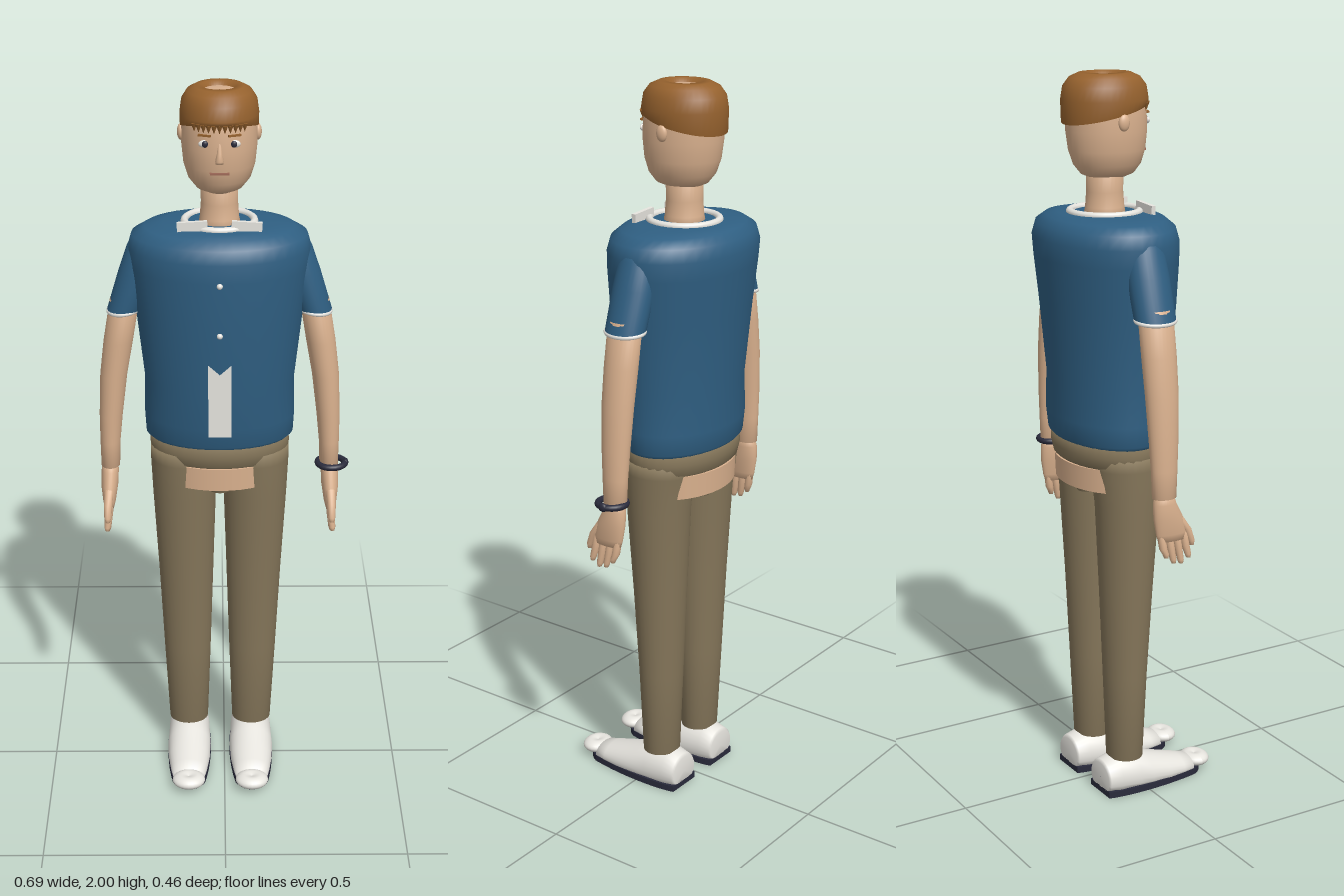
import * as THREE from 'three';

const mat = (name, color) => {
  const m = new THREE.MeshStandardMaterial({ color });
  m.name = name;
  return m;
};

// Smooth skin over elliptical rings [x, y, z, rx, rz], listed from bottom to top
function loft(rings, { caps = true, sides = 28 } = {}) {
  const list = caps
    ? [[...rings[0].slice(0, 3), 0.0005, 0.0005], ...rings, [...rings.at(-1).slice(0, 3), 0.0005, 0.0005]]
    : rings;
  const pos = [], idx = [];
  list.forEach(([x, y, z, rx, rz], i) => {
    for (let j = 0; j < sides; j++) {
      const a = (j / sides) * Math.PI * 2;
      pos.push(x + Math.cos(a) * rx, y, z + Math.sin(a) * rz);
      if (i < list.length - 1) {
        const p = i * sides + j, q = i * sides + ((j + 1) % sides);
        idx.push(p, p + sides, q, q, p + sides, q + sides);
      }
    }
  });
  const g = new THREE.BufferGeometry();
  g.setAttribute('position', new THREE.Float32BufferAttribute(pos, 3));
  g.setIndex(idx);
  g.computeVertexNormals();
  return g;
}

// Move every vertex by a rule
function reshape(g, rule) {
  const p = g.attributes.position, v = new THREE.Vector3();
  for (let i = 0; i < p.count; i++) {
    rule(v.fromBufferAttribute(p, i));
    p.setXYZ(i, v.x, v.y, v.z);
  }
  g.computeVertexNormals();
  return g;
}

export function createModel() {
  const skin = mat('skin', 0xdbb28f);
  const shirt = mat('shirt blue', 0x2f5f82);
  const khaki = mat('trouser khaki', 0x85765a);
  const brown = mat('hair brown', 0x96622e);
  const white = mat('white', 0xe6e4de);
  const dark = mat('dark navy', 0x2a2b3c);
  const lip = mat('lip', 0xa06a58);
  brown.side = shirt.side = THREE.DoubleSide;

  const root = new THREE.Group();
  root.name = 'standingMan';
  const body = new THREE.Group();
  body.name = 'body';
  body.position.set(-0.0125, 0, -0.055);
  root.add(body);

  const add = (name, geo, m, x = 0, y = 0, z = 0) => {
    const mesh = new THREE.Mesh(geo, m);
    mesh.name = name;
    mesh.position.set(x, y, z);
    body.add(mesh);
    return mesh;
  };
  const ball = (name, m, x, y, z, rx, ry, rz) =>
    add(name, new THREE.SphereGeometry(1, 20, 14), m, x, y, z).scale.set(rx, ry, rz);
  const box = (name, m, x, y, z, w, h, d) => add(name, new THREE.BoxGeometry(w, h, d), m, x, y, z);

  // Shirt body
  add('shirtBody', loft([
    [0, 1.03, 0, 0.17, 0.11], [0, 1.02, 0, 0.187, 0.125], [0, 1.035, 0, 0.203, 0.138],
    [0, 1.09, 0, 0.206, 0.145], [0, 1.2, 0.008, 0.204, 0.153], [0, 1.4, 0.006, 0.226, 0.168],
    [0, 1.52, 0.002, 0.24, 0.176], [0, 1.57, 0, 0.244, 0.177], [0, 1.605, 0, 0.234, 0.167],
    [0, 1.625, 0, 0.2, 0.145], [0, 1.635, 0, 0.15, 0.118], [0, 1.637, 0, 0.04, 0.04],
  ], { caps: false, sides: 40 }), shirt);
  const collar = add('collarRing', new THREE.TorusGeometry(0.093, 0.01, 10, 36), white, 0, 1.637, 0);
  collar.rotation.x = Math.PI / 2;
  box('placket', white, 0, 1.185, 0.12, 0.062, 0.21, 0.09);
  for (const y of [1.375, 1.515]) ball('button', white, 0, y, y > 1.4 ? 0.178 : 0.173, 0.008, 0.008, 0.008);

  // Neck and head
  add('neck', loft([
    [0, 1.6, 0, 0.062, 0.062], [0, 1.65, 0, 0.052, 0.052], [0, 1.69, 0, 0.049, 0.049], [0, 1.77, 0, 0.05, 0.05],
  ]), skin);
  add('head', loft([
    [0, 1.725, 0.008, 0.035, 0.045], [0, 1.737, 0.008, 0.062, 0.073], [0, 1.762, 0.007, 0.082, 0.092],
    [0, 1.8, 0.006, 0.094, 0.104], [0, 1.85, 0.005, 0.099, 0.11], [0, 1.9, 0.003, 0.099, 0.11],
    [0, 1.94, 0, 0.095, 0.108], [0, 1.972, 0, 0.08, 0.088], [0, 1.987, 0, 0.05, 0.055],
  ], { sides: 36 }), skin);

  // Cap of hair, open at the crown, with a rim sloping down to the back
  const hair = loft([
    [0, 1.897, 0, 0.096, 0.11], [0, 1.895, 0, 0.102, 0.117], [0, 1.93, 0, 0.103, 0.119],
    [0, 1.965, 0, 0.098, 0.113], [0, 1.987, 0, 0.084, 0.096], [0, 1.998, 0, 0.064, 0.071],
    [0, 1.999, 0, 0.048, 0.051], [0, 1.982, 0, 0.037, 0.039],
  ], { caps: false, sides: 40 });
  add('hair', reshape(hair, (v) => { if (v.y < 1.92) v.y += v.z * 0.22; }), brown);
  for (let i = -5; i <= 5; i++) {
    const a = i * 0.14;
    const tuft = add('fringeTuft', new THREE.ConeGeometry(0.009, 0.022, 6), brown,
      Math.sin(a) * 0.1, 1.911, Math.cos(a) * 0.113);
    tuft.rotation.x = Math.PI;
  }

  // Face
  add('nose', loft([
    [0, 1.822, 0.112, 0.01, 0.008], [0, 1.83, 0.114, 0.011, 0.012], [0, 1.85, 0.112, 0.007, 0.008],
    [0, 1.88, 0.108, 0.005, 0.005],
  ], { sides: 14 }), skin);
  box('mouth', lip, 0, 1.795, 0.109, 0.05, 0.006, 0.007);

  for (const s of [-1, 1]) {
    ball('eyeWhite', white, s * 0.038, 1.873, 0.104, 0.016, 0.01, 0.006);
    ball('pupil', dark, s * 0.037, 1.873, 0.108, 0.008, 0.009, 0.005);
    box('eyebrow', brown, s * 0.038, 1.895, 0.105, 0.034, 0.005, 0.008).rotation.y = s * 0.35;
    ball('ear', skin, s * 0.1, 1.877, 0, 0.01, 0.022, 0.016);

    // Collar wing
    box('collarWing', white, s * 0.071, 1.641, 0.083, 0.08, 0.038, 0.012).rotation.z = -s * 0.06;

    // Sleeve with hem
    add('sleeve', loft([
      [s * 0.257, 1.388, 0, 0.042, 0.052], [s * 0.256, 1.39, 0, 0.047, 0.057], [s * 0.219, 1.5, 0, 0.051, 0.058],
      [s * 0.198, 1.57, 0, 0.048, 0.053], [s * 0.191, 1.604, 0, 0.038, 0.036],
    ]), shirt);
    const hem = add('sleeveHem', new THREE.TorusGeometry(1, 0.09, 8, 28), white, s * 0.257, 1.39, 0);
    hem.scale.set(0.045, 0.055, 0.06);
    hem.rotation.set(Math.PI / 2, -s * 0.12, 0);

    // Arm
    add('arm', loft([
      [s * 0.305, 0.925, 0, 0.026, 0.034], [s * 0.304, 1.0, 0, 0.028, 0.037], [s * 0.3, 1.08, 0, 0.032, 0.041],
      [s * 0.29, 1.2, 0, 0.037, 0.046], [s * 0.275, 1.3, 0, 0.04, 0.048], [s * 0.255, 1.42, 0, 0.04, 0.048],
    ]), skin);

    // Hand with four fingers and a thumb
    add('palm', loft([
      [s * 0.31, 0.805, 0.022, 0.013, 0.042], [s * 0.31, 0.825, 0.02, 0.018, 0.046],
      [s * 0.309, 0.87, 0.01, 0.024, 0.043], [s * 0.307, 0.91, 0, 0.024, 0.033], [s * 0.306, 0.935, 0, 0.021, 0.026],
    ]), skin);
    for (let i = 0; i < 4; i++) {
      const z = -0.012 + i * 0.023, tip = [0.76, 0.742, 0.738, 0.75][i];
      add('finger', loft([
        [s * 0.316, tip, z + 0.013, 0.006, 0.006], [s * 0.315, tip + 0.01, z + 0.012, 0.009, 0.009],
        [s * 0.312, 0.785, z + 0.006, 0.011, 0.011], [s * 0.31, 0.825, z, 0.011, 0.011],
      ], { sides: 12 }), skin);
    }
    add('thumb', loft([
      [s * 0.313, 0.782, 0.082, 0.006, 0.006], [s * 0.313, 0.795, 0.08, 0.01, 0.01],
      [s * 0.312, 0.83, 0.066, 0.012, 0.013], [s * 0.309, 0.875, 0.035, 0.013, 0.014],
    ], { sides: 12 }), skin);

    // Trouser leg
    add('trouserLeg', loft([
      [s * 0.092, 0.1, 0.006, 0.056, 0.05], [s * 0.094, 0.35, 0.006, 0.067, 0.06],
      [s * 0.096, 0.6, 0.008, 0.077, 0.073], [s * 0.099, 0.85, 0.01, 0.088, 0.088],
      [s * 0.1, 0.96, 0.008, 0.092, 0.1], [s * 0.1, 0.995, 0.005, 0.092, 0.1],
    ]), khaki);

    // Shoe: rings run from heel to toe, with a flattened underside
    const upper = loft([
      [0, -0.072, -0.045, 0.05, 0.043], [0, -0.066, -0.045, 0.055, 0.052], [0, -0.03, -0.045, 0.059, 0.064],
      [0, 0.03, -0.04, 0.061, 0.068], [0, 0.07, -0.035, 0.063, 0.057], [0, 0.13, -0.028, 0.06, 0.045],
      [0, 0.18, -0.024, 0.053, 0.034], [0, 0.215, -0.022, 0.046, 0.026],
    ]).rotateX(Math.PI / 2);
    add('shoeUpper', reshape(upper, (v) => { v.y = Math.max(v.y, 0.016); }), white, s * 0.091);

    // Rounded toe cap with a dimple on top
    const toe = reshape(new THREE.SphereGeometry(1, 24, 16), (v) => {
      const r = Math.hypot(v.x, v.z);
      if (v.y > 0 && r < 0.5) v.y -= (0.5 - r) * 0.9;
    });
    add('toeCap', toe, white, s * 0.091, 0.03, 0.243).scale.set(0.047, 0.021, 0.041);

    // Sole outline, tapering to the toe
    const outline = new THREE.Shape();
    outline.moveTo(-0.052, 0.072);
    outline.lineTo(0.052, 0.072);
    outline.bezierCurveTo(0.066, 0.03, 0.07, -0.1, 0.047, -0.215);
    outline.quadraticCurveTo(0.03, -0.25, 0, -0.252);
    outline.quadraticCurveTo(-0.03, -0.25, -0.047, -0.215);
    outline.bezierCurveTo(-0.07, -0.1, -0.066, 0.03, -0.052, 0.072);
    const sole = new THREE.ExtrudeGeometry(outline, { depth: 0.018, bevelEnabled: false, curveSegments: 10 });
    add('shoeSole', sole.rotateX(-Math.PI / 2), dark, s * 0.091);
  }

  // Hips, and the pelvis showing between the legs
  add('trouserHips', loft([
    [0, 0.96, 0, 0.17, 0.115], [0, 0.97, 0, 0.186, 0.126], [0, 1.0, 0, 0.193, 0.133], [0, 1.04, 0, 0.19, 0.13],
  ], { sides: 36 }), khaki);
  add('pelvis', new THREE.CylinderGeometry(1, 0.98, 0.065, 36), skin, 0, 0.932, 0).scale.set(0.175, 1, 0.126);
  add('trouserCrotch', new THREE.CylinderGeometry(1, 0.85, 0.04, 24), khaki, 0, 0.893, 0).scale.set(0.055, 1, 0.1);

  // Bracelet on the left wrist
  const band = add('bracelet', new THREE.TorusGeometry(0.038, 0.009, 10, 28), dark, 0.312, 0.93, 0.005);
  band.rotation.x = Math.PI / 2;
  ball('braceletBead', dark, 0.352, 0.93, 0.005, 0.008, 0.012, 0.014);

  return root;
}
